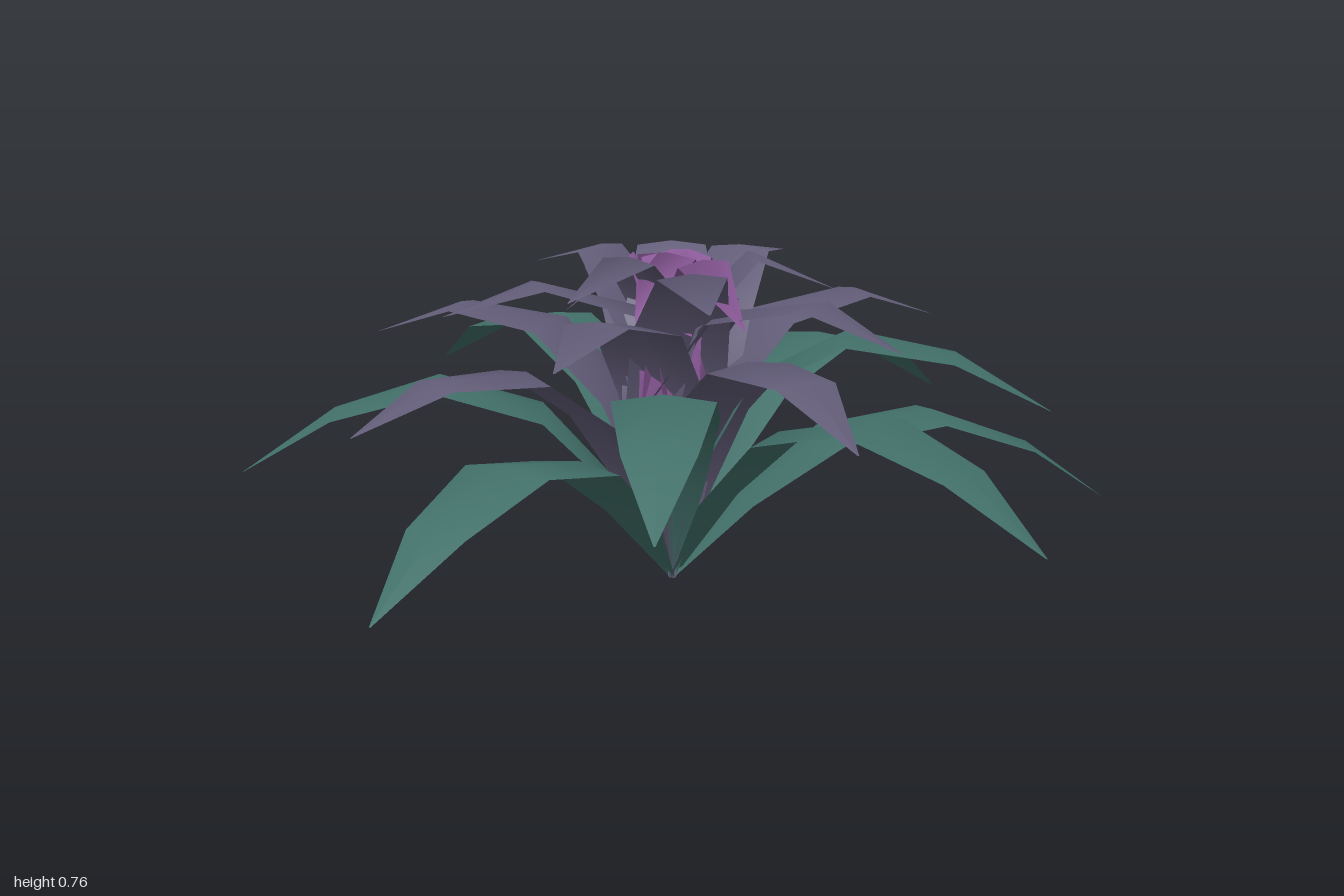
import * as THREE from 'three';

const ROOT = new THREE.Vector3(-0.05, 0, 0.065);
// Half-widths and raised middles at the six rows of a leaf
const WIDTH = [0.008, 0.072, 0.113, 0.11, 0.077, 0.002];
const CROWN = 0.14;

// Sum of unit segments bent by k times the pattern: the chord of an arched leaf
function chord(bend, k) {
  let x = 0, y = 0;
  for (const b of bend) {
    const a = THREE.MathUtils.degToRad(b * k);
    x += Math.cos(a);
    y += Math.sin(a);
  }
  return { length: Math.hypot(x, y) / bend.length, angle: Math.atan2(y, x) };
}

// Arched strip from the root to the tip, curled until its arc length fits
function leafGeometry([tx, ty, tz], { bend, arc, width }) {
  const dx = tx - ROOT.x, dz = tz - ROOT.z;
  const reach = Math.hypot(dx, dz);
  const ratio = Math.min(0.985, Math.hypot(reach, ty) / arc);
  let low = 0, high = 1.8;
  for (let i = 0; i < 40; i++) {
    const mid = (low + high) / 2;
    if (chord(bend, mid).length > ratio) low = mid; else high = mid;
  }
  const fit = chord(bend, low);
  const start = Math.atan2(ty, reach) - fit.angle;
  const step = Math.hypot(reach, ty) / (fit.length * bend.length);
  const angles = bend.map((b) => start + THREE.MathUtils.degToRad(b * low));
  const out = new THREE.Vector3(dx / reach, 0, dz / reach);
  const side = new THREE.Vector3(out.z, 0, -out.x);

  const positions = [], index = [];
  let r = 0, y = 0;
  WIDTH.forEach((w, i) => {
    // Surface direction at this row, between the two neighbouring segments
    const last = angles.length - 1;
    const slope = (angles[Math.max(0, i - 1)] + angles[Math.min(last, i)]) / 2;
    for (const s of [-1, 0, 1]) {
      const lift = s === 0 ? w * width * CROWN : 0;
      const p = ROOT.clone()
        .addScaledVector(out, r - Math.sin(slope) * lift)
        .addScaledVector(side, s * w * width);
      positions.push(p.x, y + Math.cos(slope) * lift, p.z);
    }
    if (i <= last) {
      r += step * Math.cos(angles[i]);
      y += step * Math.sin(angles[i]);
      for (const n of [i * 3, i * 3 + 1]) index.push(n, n + 3, n + 1, n + 1, n + 3, n + 4);
    }
  });
  const geometry = new THREE.BufferGeometry();
  geometry.setAttribute('position', new THREE.Float32BufferAttribute(positions, 3));
  geometry.setIndex(index);
  geometry.computeVertexNormals();
  return geometry;
}

// Whorls from the outside in: bend of each segment in degrees, arc length, width scale, leaf tips
const WHORLS = [
  {
    name: 'outerLeaf', colour: 'teal', bend: [0, -12, -39, -68, -83], arc: 1.22, width: 1,
    tips: [
      [0.04, 0.19, -0.945], [-0.455, 0.375, -0.72], [-1, 0.26, -0.105],
      [-0.81, 0.155, 0.755], [-0.285, 0.335, 0.94], [0.55, 0.225, 0.84],
      [0.745, 0.41, 0.35], [0.995, 0.125, 0.06], [0.74, 0.3, -0.445],
    ],
  },
  {
    name: 'middleLeaf', colour: 'duskyPurple', bend: [0, -8, -30, -61, -85], arc: 1.1, width: 0.95,
    tips: [
      [0.285, 0.46, -0.65], [-0.13, 0.6, -0.535], [-0.665, 0.53, -0.3],
      [-0.565, 0.63, 0.08], [-0.8, 0.44, 0.37], [-0.41, 0.6, 0.575],
      [0.17, 0.445, 0.77], [0.375, 0.57, 0.415], [0.61, 0.555, -0.09],
    ],
  },
  {
    name: 'innerLeaf', colour: 'duskyPurple', bend: [0, -4, -14, -41, -101], arc: 1, width: 1,
    tips: [
      [-0.3, 0.69, -0.25], [0.3, 0.69, -0.28], [0.315, 0.66, 0.1],
      [-0.07, 0.69, 0.5], [-0.32, 0.68, 0.25], [0.015, 0.68, -0.23],
    ],
  },
  {
    name: 'heartPetal', colour: 'violet', bend: [0, -2, -6, -20, -135], arc: 0.94, width: 0.95,
    tips: [
      [-0.275, 0.62, 0], [-0.1, 0.63, -0.085], [0.125, 0.62, -0.02],
      [0.06, 0.61, 0.285], [-0.16, 0.62, 0.19],
    ],
  },
  {
    name: 'heartBud', colour: 'violet', bend: [0, -2, -6, -20, -110], arc: 0.76, width: 0.75,
    tips: [[0.06, 0.58, 0.1], [-0.13, 0.58, 0.03], [-0.03, 0.58, 0.17]],
  },
];

export function createModel() {
  const model = new THREE.Group();
  model.name = 'rosettePlant';
  const materials = {};
  for (const [name, color] of [['teal', 0x427069], ['duskyPurple', 0x625c78], ['violet', 0x8c5a9a]]) {
    materials[name] = new THREE.MeshStandardMaterial({ name, color, side: THREE.DoubleSide });
  }
  for (const whorl of WHORLS) {
    const group = new THREE.Group();
    group.name = whorl.name + 'Whorl';
    whorl.tips.forEach((tip, i) => {
      const leaf = new THREE.Mesh(leafGeometry(tip, whorl), materials[whorl.colour]);
      leaf.name = whorl.name + (i + 1);
      group.add(leaf);
    });
    model.add(group);
  }
  return model;
}
